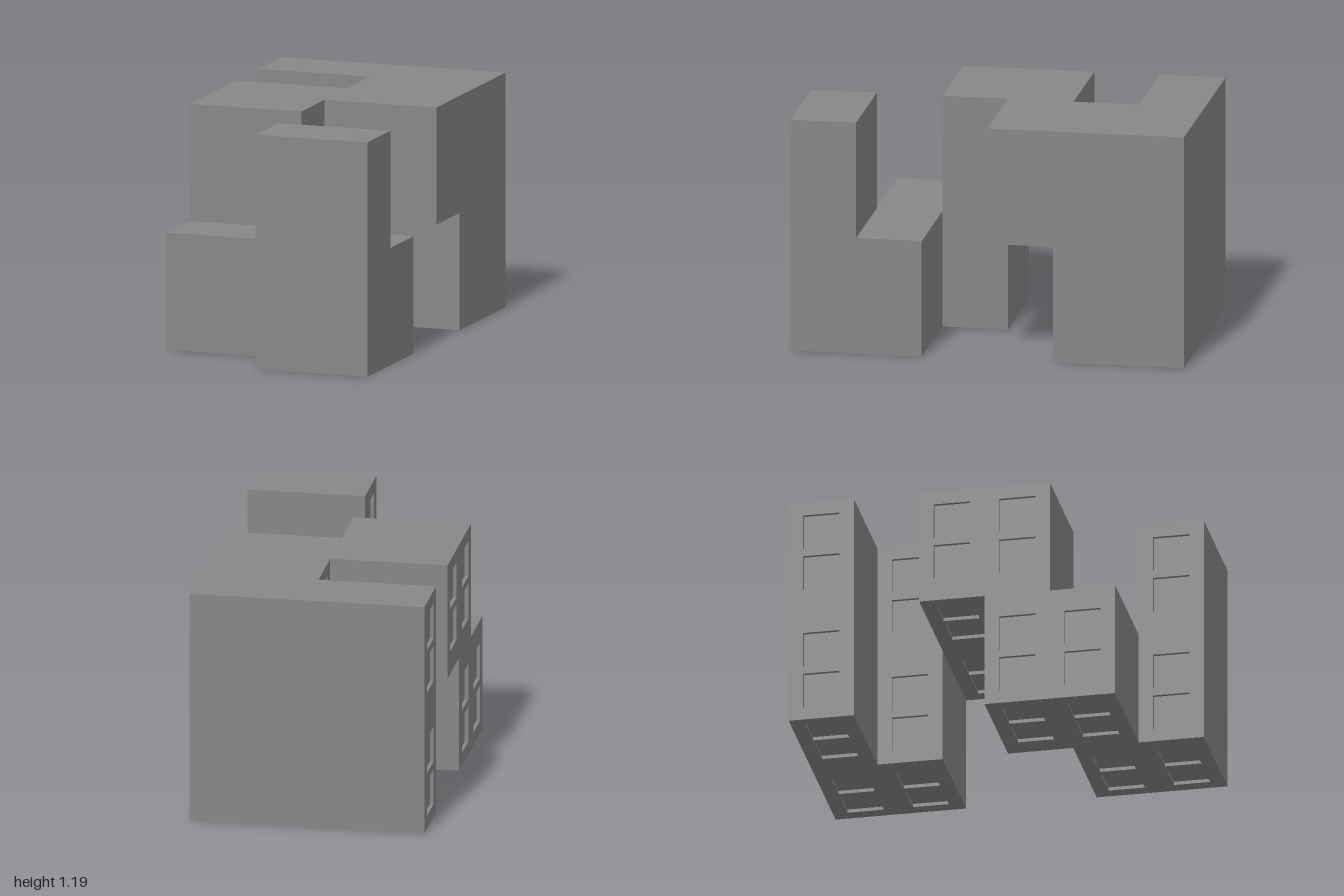
import * as THREE from 'three';
import { mergeGeometries } from 'three/addons/utils/BufferGeometryUtils.js';

const W = 0.597, D = 1 / 3;              // cell width/height and cell depth
const POCKET = 0.185, RECESS = 0.018;    // pocket side and depth
const OFFSETS = [0.16, 0.385];           // pocket centres, from the outer edge

// Layers from front to back; each lists its filled cells as [x, y]
// (x: 0 = right half, 1 = left half; y: 0 = lower, 1 = upper)
const LAYERS = [
  [[1, 0], [1, 1]],
  [[0, 0], [1, 0]],
  [[0, 0], [0, 1]],
  [[0, 1], [1, 1]],
  [[1, 0], [1, 1]],
  [[0, 0], [1, 0], [0, 1], [1, 1]],
];
const filled = (x, y, k) => (LAYERS[k] || []).some(c => c[0] === x && c[1] === y);

// Wall directions: step [x, y, layer], rotation of a +z panel, panel size, distance from cell centre
const WALLS = [
  { step: [1, 0, 0], rot: [0, Math.PI / 2], size: [D, W], out: W / 2 },
  { step: [-1, 0, 0], rot: [0, -Math.PI / 2], size: [D, W], out: W / 2, pockets: 'y' },
  { step: [0, 1, 0], rot: [-Math.PI / 2, 0], size: [W, D], out: W / 2 },
  { step: [0, -1, 0], rot: [Math.PI / 2, 0], size: [W, D], out: W / 2, pockets: 'x' },
  { step: [0, 0, -1], rot: [0, 0], size: [W, W], out: D / 2 },
  { step: [0, 0, 1], rot: [0, Math.PI], size: [W, W], out: D / 2 },
];

function rectangle(PathType, cx, cy, w, h) {
  return new PathType([[-1, -1], [1, -1], [1, 1], [-1, 1]].map(
    ([a, b]) => new THREE.Vector2(cx + a * w / 2, cy + b * h / 2)));
}

// Open box seen from the inside, with its mouth on z = 0
function pocketGeometry(cx, cy) {
  const box = new THREE.BoxGeometry(POCKET, POCKET, RECESS);
  const index = Array.from(box.index.array);
  index.splice(24, 6);                   // remove the mouth
  box.setIndex(index);
  box.scale(-1, 1, 1);                   // turn the faces inwards
  const open = box.toNonIndexed();
  open.computeVertexNormals();
  return open.translate(cx, cy, -RECESS / 2);
}

export function createModel() {
  const group = new THREE.Group();
  group.name = 'interlockingBlock';
  const material = new THREE.MeshStandardMaterial({ color: 0x878787 });
  const plain = [], pierced = [], pockets = [];

  LAYERS.forEach((cells, k) => cells.forEach(([x, y]) => {
    const centre = [(x - 0.5) * W, (y + 0.5) * W, 1 - (k + 0.5) * D];
    for (const wall of WALLS) {
      const [sx, sy, sk] = wall.step;
      if (filled(x + sx, y + sy, k + sk)) continue;
      const place = g => g.translate(0, 0, wall.out)
        .rotateX(wall.rot[0]).rotateY(wall.rot[1]).translate(...centre);
      const shape = rectangle(THREE.Shape, 0, 0, ...wall.size);

      // Two square pockets, set towards the outer edge of the block
      if (wall.pockets) {
        const side = (wall.pockets === 'x' ? x : y) ? 1 : -1;
        for (const offset of OFFSETS) {
          const t = side * (W / 2 - offset);
          const [cx, cy] = wall.pockets === 'x' ? [t, 0] : [0, t];
          shape.holes.push(rectangle(THREE.Path, cx, cy, POCKET, POCKET));
          pockets.push(place(pocketGeometry(cx, cy)));
        }
      }
      (wall.pockets ? pierced : plain).push(place(new THREE.ShapeGeometry(shape)));
    }
  }));

  const parts = { plainWalls: plain, piercedWalls: pierced, pockets };
  for (const [name, geometries] of Object.entries(parts)) {
    const mesh = new THREE.Mesh(mergeGeometries(geometries), material);
    mesh.name = name;
    group.add(mesh);
  }
  return group;
}
